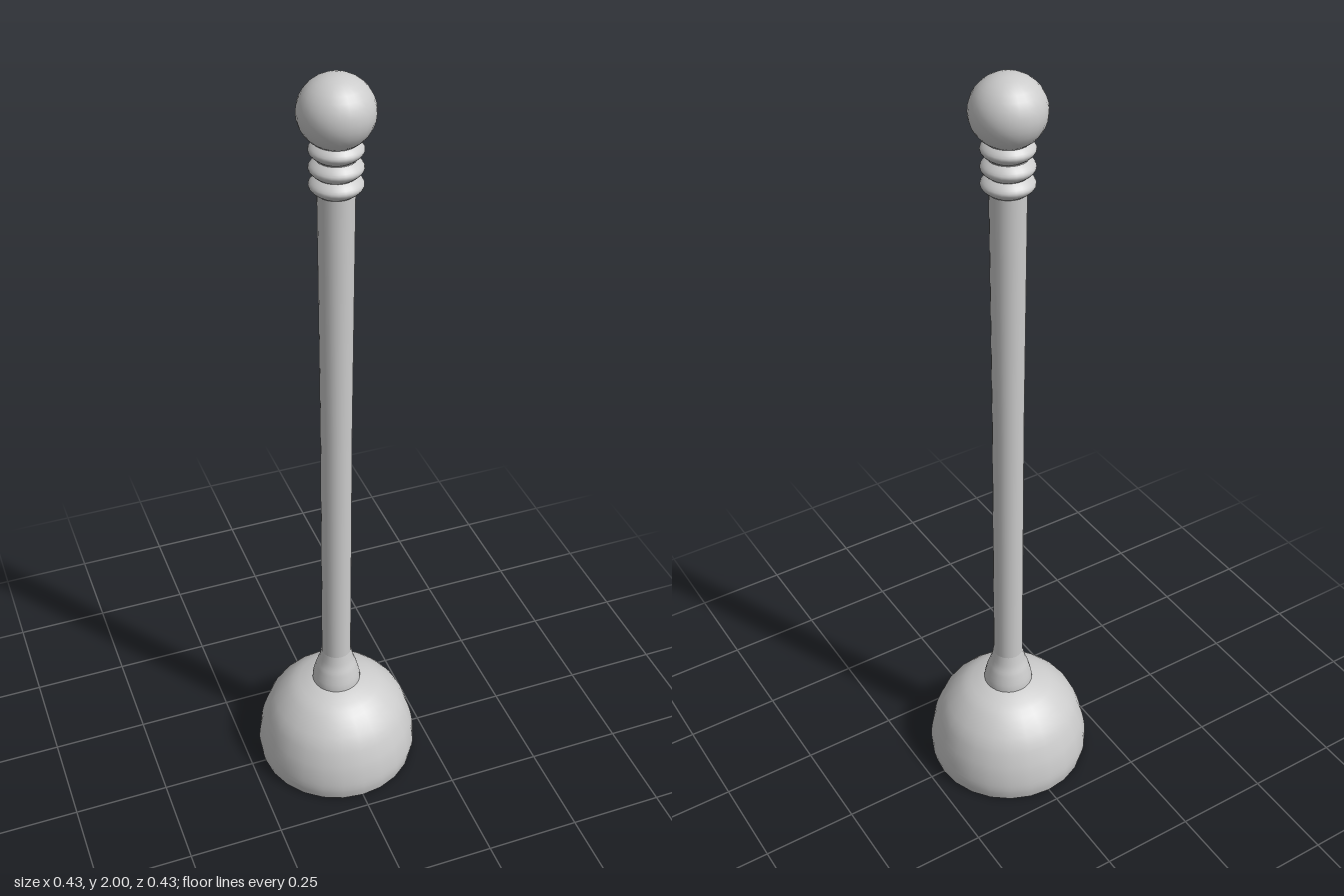
import * as THREE from 'three';

const material = new THREE.MeshStandardMaterial({ color: 0xcccccc, side: THREE.DoubleSide });

// Revolve a smooth curve through a few [radius, height] points, listed bottom to top
function turned(name, points, steps = 0, sides = 24) {
  let profile = points.map(([r, y]) => new THREE.Vector2(r, y));
  if (steps) profile = new THREE.SplineCurve(profile).getPoints(steps);
  profile.forEach((p) => { p.x = Math.max(p.x, 0); });
  const mesh = new THREE.Mesh(new THREE.LatheGeometry(profile, sides), material);
  mesh.name = name;
  return mesh;
}

export function createModel() {
  const model = new THREE.Group();
  model.name = 'plunger';

  // Hollow rubber cup: outer dome, inner dome and the rim between them
  model.add(turned('cupOuter', [
    [0.211, 0], [0.217, 0.035], [0.213, 0.08], [0.202, 0.125],
    [0.178, 0.18], [0.13, 0.232], [0.085, 0.255], [0.055, 0.264],
  ], 20));
  model.add(turned('cupInner', [
    [0, 0.246], [0.06, 0.243], [0.12, 0.219], [0.167, 0.17],
    [0.191, 0.12], [0.202, 0.075], [0.205, 0.035], [0.2, 0],
  ], 20));
  model.add(turned('cupRim', [[0.2, 0], [0.211, 0]]));

  // Stepped socket that holds the handle
  model.add(turned('socket', [
    [0.065, 0.255], [0.064, 0.275], [0.057, 0.303], [0.053, 0.316],
    [0.046, 0.335], [0.04, 0.365],
  ], 12));

  // Slightly tapered handle
  model.add(turned('handle', [[0.039, 0.25], [0.039, 1.1], [0.043, 1.75], [0.043, 1.85]]));

  // Three turned rings below the knob
  [1.75, 1.79, 1.832].forEach((y, i) => {
    const ring = turned(`gripRing${i + 1}`, [
      [0.045, y - 0.02], [0.054, y - 0.013], [0.061, y - 0.004],
      [0.061, y + 0.004], [0.054, y + 0.013], [0.045, y + 0.02],
    ], 10);
    model.add(ring);
  });

  // Round knob
  const knob = new THREE.Mesh(new THREE.SphereGeometry(0.087, 24, 16), material);
  knob.name = 'knob';
  knob.scale.y = 0.95;
  knob.position.y = 2 - 0.087 * 0.95;
  model.add(knob);

  return model;
}
